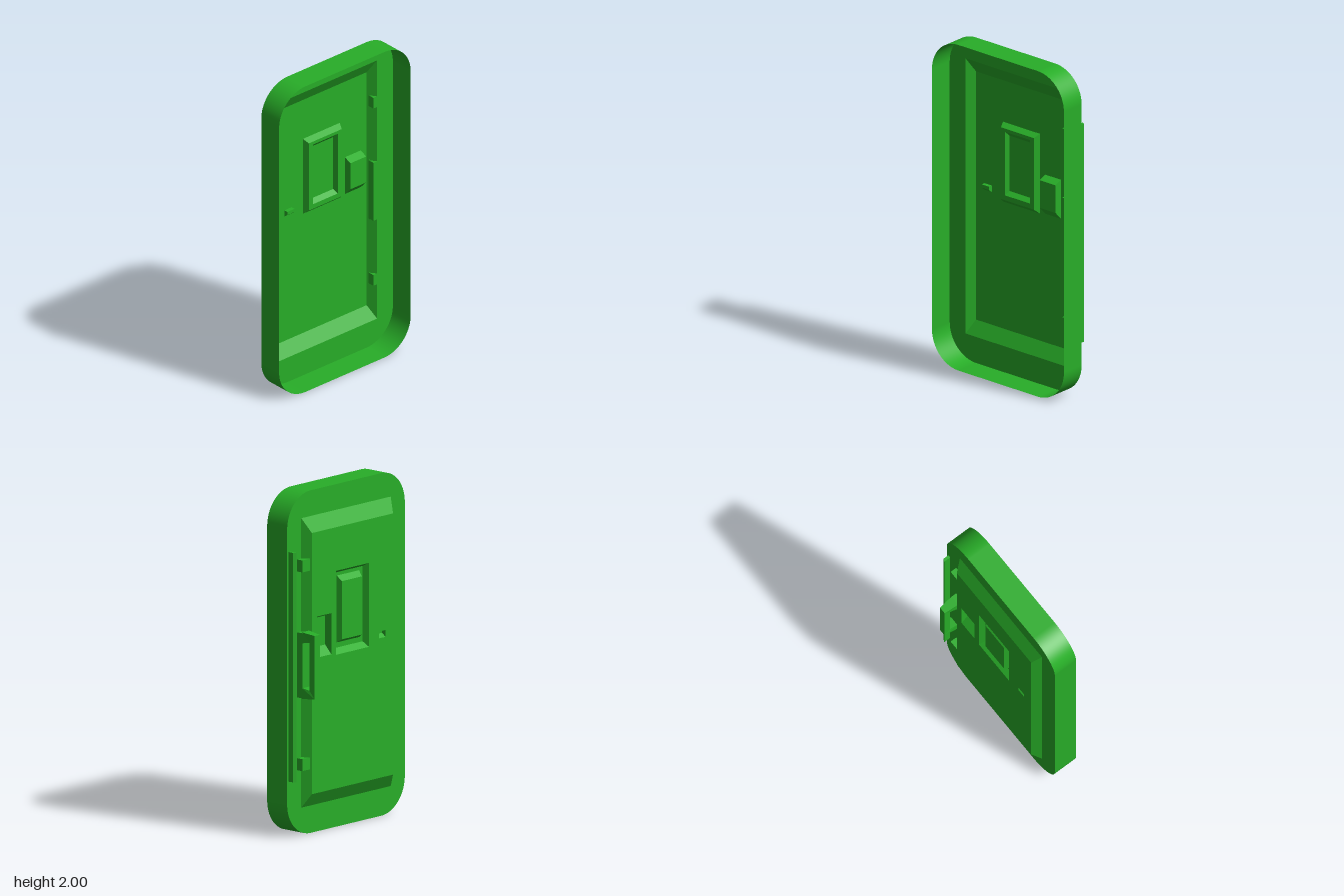
import * as THREE from 'three';

const FLANGE = -0.015, PANEL = -0.065, OPEN = 0.138;

export function createModel() {
  const model = new THREE.Group();
  model.name = 'door';
  const mat = new THREE.MeshStandardMaterial({ color: 0x28ae28, side: THREE.DoubleSide });

  const add = (name, geometry) => {
    const mesh = new THREE.Mesh(geometry, mat);
    mesh.name = name;
    model.add(mesh);
    return mesh;
  };

  // Rectangle path in the door plane (z, y)
  const rect = (path, z0, z1, y0, y1) =>
    path.moveTo(z0, y0).lineTo(z1, y0).lineTo(z1, y1).lineTo(z0, y1).closePath();

  // Flat sheet across the door at depth x
  const sheet = (name, shape, x) =>
    add(name, new THREE.ShapeGeometry(shape, 12).rotateY(-Math.PI / 2).translate(x, 0, 0));

  // Pressed sheet: rectangular loops [z0, z1, y0, y1, x] joined by flat walls
  const pressed = (name, loops, cap) => {
    const pos = [];
    const rings = loops.map(([z0, z1, y0, y1, x]) =>
      [[x, y0, z0], [x, y1, z0], [x, y1, z1], [x, y0, z1]]);
    const quad = (a, b, c, d) => pos.push(...a, ...b, ...c, ...a, ...c, ...d);
    for (let i = 0; i < rings.length - 1; i++) {
      for (let k = 0; k < 4; k++) {
        const n = (k + 1) % 4;
        quad(rings[i][k], rings[i + 1][k], rings[i + 1][n], rings[i][n]);
      }
    }
    if (cap) {
      const r = rings[rings.length - 1];
      quad(r[0], r[3], r[2], r[1]);
    }
    const g = new THREE.BufferGeometry();
    g.setAttribute('position', new THREE.Float32BufferAttribute(pos, 3));
    g.computeVertexNormals();
    return add(name, g);
  };

  const box = (name, x0, x1, y0, y1, z0, z1) =>
    add(name, new THREE.BoxGeometry(x1 - x0, y1 - y0, z1 - z0)
      .translate((x0 + x1) / 2, (y0 + y1) / 2, (z0 + z1) / 2));

  // Rounded outline of the door
  const outline = new THREE.Shape();
  const h = 0.5, r = 0.2;
  outline.moveTo(-h + r, 0).lineTo(h - r, 0);
  outline.absarc(h - r, r, r, -Math.PI / 2, 0);
  outline.absarc(h - r, 2 - r, r, 0, Math.PI / 2);
  outline.absarc(-h + r, 2 - r, r, Math.PI / 2, Math.PI);
  outline.absarc(-h + r, r, r, Math.PI, Math.PI * 1.5);

  // Rim wall: smooth sheet swept along the outline, open on the inner side
  const pts = outline.getPoints(12);
  const pos = [], normals = [], index = [];
  pts.forEach((p) => {
    const cz = THREE.MathUtils.clamp(p.x, -h + r, h - r);
    const cy = THREE.MathUtils.clamp(p.y, r, 2 - r);
    const n = new THREE.Vector2(p.x - cz, p.y - cy).normalize();
    for (const x of [FLANGE, OPEN]) {
      pos.push(x, p.y, p.x);
      normals.push(0, n.y, n.x);
    }
  });
  for (let i = 0; i < pts.length; i++) {
    const a = 2 * i, b = 2 * ((i + 1) % pts.length);
    index.push(a, a + 1, b, b, a + 1, b + 1);
  }
  const rim = new THREE.BufferGeometry();
  rim.setAttribute('position', new THREE.Float32BufferAttribute(pos, 3));
  rim.setAttribute('normal', new THREE.Float32BufferAttribute(normals, 3));
  rim.setIndex(index);
  add('rim', rim);

  // Flange around the raised panel
  const outer = [-0.38, 0.38, 0.16, 1.85], inner = [-0.345, 0.345, 0.24, 1.765];
  outline.holes.push(rect(new THREE.Path(), ...outer));
  sheet('flange', outline, FLANGE);
  pressed('panelBevel', [[...outer, FLANGE], [...inner, PANEL]], false);

  // Panel with openings for the pressed details
  const windowBase = [-0.14, 0.14, 1.02, 1.51];
  const pocketBase = [-0.3, -0.18, 1.03, 1.27];
  const catchBase = [0.225, 0.28, 1.055, 1.095];
  const panel = rect(new THREE.Shape(), ...inner);
  for (const base of [windowBase, pocketBase, catchBase]) {
    panel.holes.push(rect(new THREE.Path(), ...base));
  }
  sheet('panel', panel, PANEL);

  pressed('window', [
    [...windowBase, PANEL],
    [-0.125, 0.125, 1.05, 1.49, -0.03],
    [-0.095, 0.095, 1.08, 1.47, -0.03],
    [-0.085, 0.085, 1.1, 1.44, -0.06],
  ], true);
  pressed('latchPocket', [[...pocketBase, PANEL], [-0.3, -0.18, 1.08, 1.25, -0.018]], true);
  pressed('smallCatch', [[...catchBase, PANEL], [0.225, 0.28, 1.075, 1.095, -0.04]], true);

  // Edge strip in three lengths, its face slanted
  for (const [y0, y1] of [[0.33, 0.8], [0.8, 1.19], [1.19, 1.67]]) {
    const strip = new THREE.Shape([
      new THREE.Vector2(FLANGE, 0.47), new THREE.Vector2(-0.058, 0.47),
      new THREE.Vector2(-0.05, 0.487), new THREE.Vector2(FLANGE, 0.487),
    ]);
    add('edgeStrip', new THREE.ExtrudeGeometry(strip, { depth: y1 - y0, bevelEnabled: false })
      .rotateX(-Math.PI / 2).translate(0, y0, 0));
  }

  // Hinge tabs and the plate under the handle
  for (const y of [0.42, 1.58]) box('hingeTab', -0.055, FLANGE, y - 0.035, y + 0.035, -0.415, -0.352);
  box('handlePlate', -0.055, FLANGE, 0.81, 1.19, -0.415, -0.352);

  // Handle: bracket outline extruded across z, arms widening towards the plate
  const bracket = new THREE.Shape([
    [-0.05, 0.805], [-0.14, 0.815], [-0.14, 1.185], [-0.05, 1.195],
    [-0.05, 1.13], [-0.1, 1.14], [-0.1, 0.86], [-0.05, 0.87],
  ].map(([x, y]) => new THREE.Vector2(x, y)));
  const handle = new THREE.ExtrudeGeometry(bracket, { depth: 1, bevelEnabled: false });
  const p = handle.attributes.position;
  for (let i = 0; i < p.count; i++) {
    const half = p.getX(i) < -0.09 ? 0.022 : 0.031;
    p.setZ(i, -0.383 + (p.getZ(i) - 0.5) * 2 * half);
  }
  handle.computeVertexNormals();
  add('handle', handle);

  return model;
}
